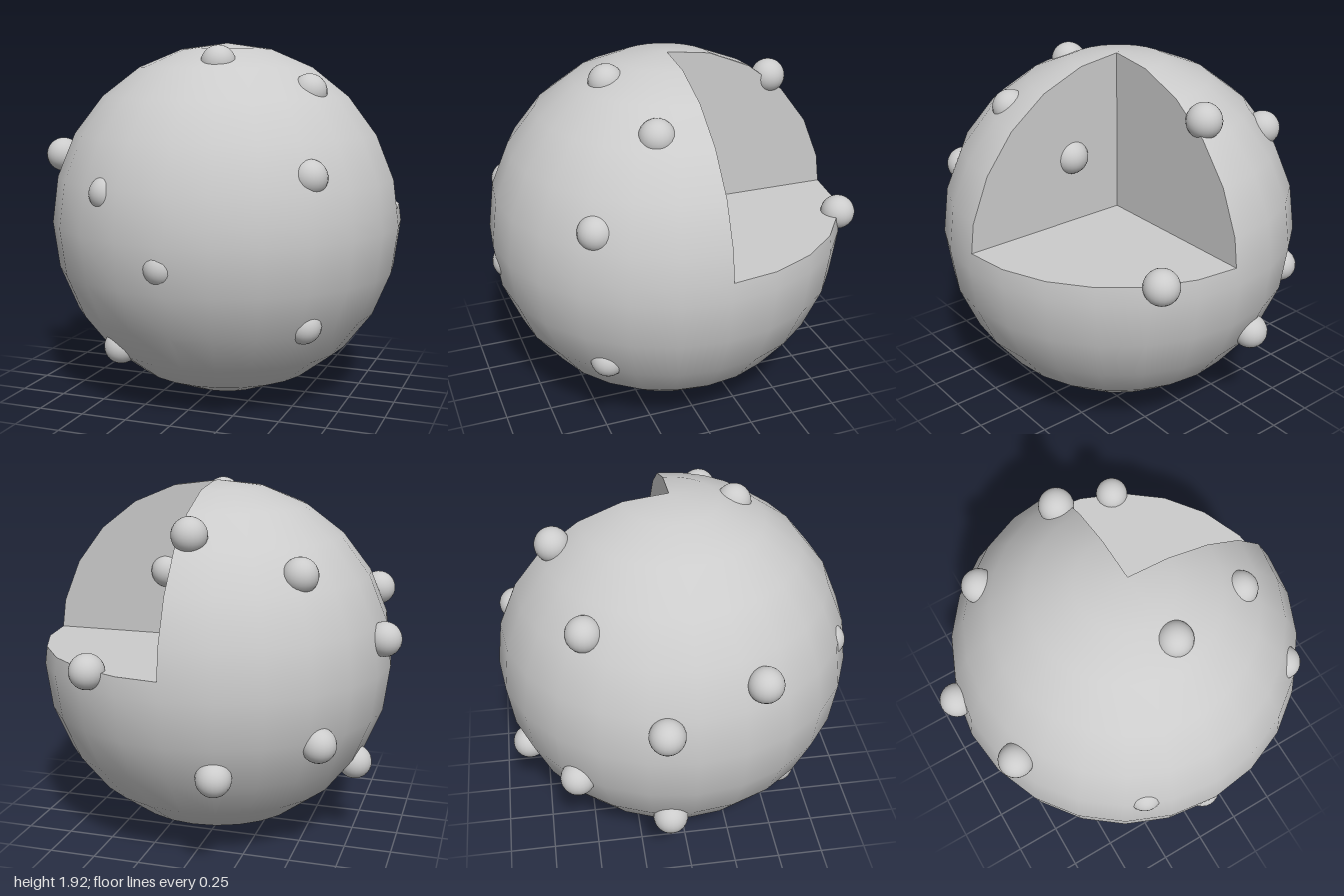
import * as THREE from 'three';

const RADIUS = 0.9625;
const CENTRE = new THREE.Vector3(0.035, RADIUS, 0);
// Inner corner of the removed octant (x above, y above, z below), relative to the centre
const CORNER = new THREE.Vector3(0.02, 0.093, -0.01);

// Keep the part of a convex polygon where side * (p[axis] - limit) >= 0
function clip(poly, axis, side) {
  const out = [];
  poly.forEach((a, i) => {
    const b = poly[(i + 1) % poly.length];
    const da = side * (a[axis] - CORNER[axis]);
    const db = side * (b[axis] - CORNER[axis]);
    if (da >= 0) out.push(a);
    if (da * db < 0) {
      const p = a.clone().lerp(b, da / (da - db));
      p[axis] = CORNER[axis];
      out.push(p);
    }
  });
  return out;
}

function buildBody(material) {
  const source = new THREE.SphereGeometry(RADIUS, 24, 12).toNonIndexed().getAttribute('position');
  const shell = [];
  const walls = { x: [], y: [], z: [] };
  const addPolygon = (poly) => {
    for (let i = 1; i < poly.length - 1; i++) shell.push(poly[0], poly[i], poly[i + 1]);
  };

  for (let i = 0; i < source.count; i += 3) {
    let rest = [0, 1, 2].map((k) => new THREE.Vector3().fromBufferAttribute(source, i + k));
    // Peel off the parts outside the octant; what is left over is removed
    for (const [axis, side] of [['x', 1], ['y', 1], ['z', -1]]) {
      addPolygon(clip(rest, axis, -side));
      rest = clip(rest, axis, side);
    }
    // Cut edges of the removed piece fan to the corner to form the flat walls
    rest.forEach((a, k) => {
      const b = rest[(k + 1) % rest.length];
      for (const axis of ['x', 'y', 'z']) {
        if (a[axis] === CORNER[axis] && b[axis] === CORNER[axis]) walls[axis].push(CORNER, a, b);
      }
    });
  }

  const body = new THREE.Group();
  body.name = 'body';
  const addMesh = (name, points, smooth) => {
    const geometry = new THREE.BufferGeometry().setFromPoints(points);
    if (smooth) {
      const normals = points.flatMap((p) => p.clone().normalize().toArray());
      geometry.setAttribute('normal', new THREE.Float32BufferAttribute(normals, 3));
    } else {
      geometry.computeVertexNormals();
    }
    const mesh = new THREE.Mesh(geometry, material);
    mesh.name = name;
    body.add(mesh);
  };
  addMesh('shell', shell, true);
  addMesh('cutSideWall', walls.x, false);
  addMesh('cutFloor', walls.y, false);
  addMesh('cutFrontWall', walls.z, false);
  body.position.copy(CENTRE);
  return body;
}

// Bead centres, sunk to different depths in the surface
const BEADS = [
  [0.11, 1.82, 0.34], [0.565, 1.675, 0.23], [0.665, 1.275, 0.575],
  [-0.8, 1.32, 0.34], [-0.908, 1.145, -0.155], [-0.31, 1.18, 0.79],
  [0.015, 0.845, 0.875], [0.63, 0.525, 0.52], [-0.36, 0.33, 0.555],
  [-0.77, 0.445, -0.12], [-0.66, 0.69, -0.59], [-0.19, 0.55, -0.835],
  [-0.535, 1.52, -0.51], [-0.005, 1.71, -0.62], [0.455, 1.05, -0.855],
  [0.34, 1.41, 0.02], // half exposed in the cut wall
];

export function createModel() {
  const model = new THREE.Group();
  model.name = 'studdedSphere';
  const material = new THREE.MeshStandardMaterial({ color: 0xcccccc });
  model.add(buildBody(material));

  const beadGeometry = new THREE.SphereGeometry(0.092, 24, 16);
  const beads = new THREE.Group();
  beads.name = 'beads';
  for (const centre of BEADS) {
    const bead = new THREE.Mesh(beadGeometry, material);
    bead.name = 'bead';
    bead.position.set(...centre);
    beads.add(bead);
  }
  model.add(beads);
  return model;
}
